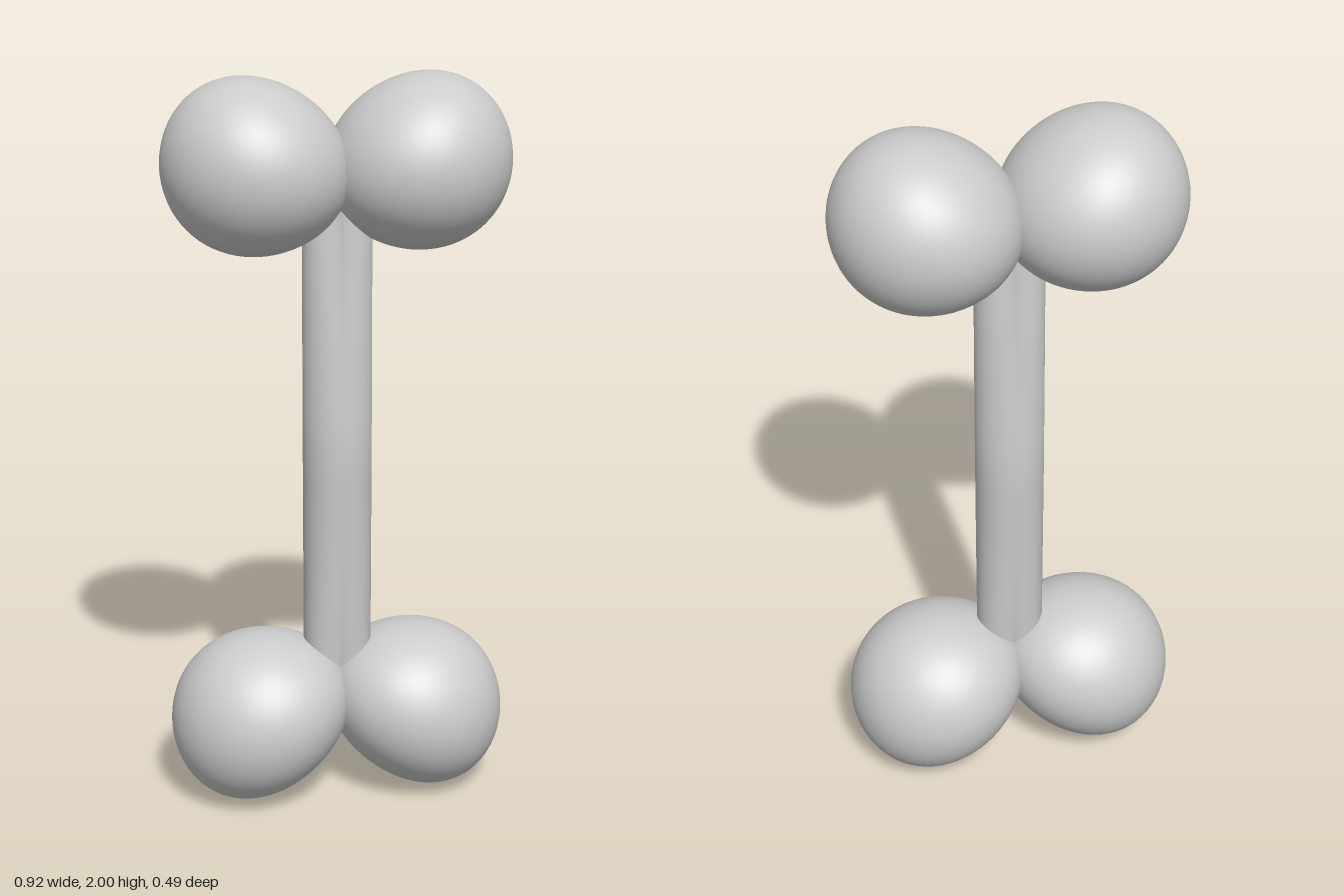
import * as THREE from 'three';

const HALF_WIDTH = 0.093;

// Rod leaning so its outer side stays straight while the radius narrows to the ends
function rodGeometry() {
  const profile = [];
  const rows = 16;
  for (let i = 0; i <= rows; i++) {
    const y = 0.29 + (1.72 - 0.29) * i / rows;
    profile.push(new THREE.Vector2(HALF_WIDTH - 0.054 * Math.abs(y - 1), y));
  }
  const geo = new THREE.LatheGeometry(profile, 48);
  const pos = geo.attributes.position;
  for (let i = 0; i < pos.count; i++) {
    pos.setX(i, pos.getX(i) + 0.054 * Math.abs(pos.getY(i) - 1));
  }
  return geo;
}

// Egg-like knob: height grows outward by swell, centre line bends by slope and bend
function knobGeometry(y, height, swell, slope, bend) {
  const radius = 0.247;
  const geo = new THREE.SphereGeometry(radius, 64, 48);
  const pos = geo.attributes.position;
  for (let i = 0; i < pos.count; i++) {
    const u = pos.getX(i);
    const h = pos.getY(i) / radius * height * (1 + swell * u);
    pos.setXYZ(i, u + 0.215, y + h + slope * u + bend * u * u, pos.getZ(i));
  }
  geo.computeVertexNormals();
  // Keep the sphere's seam smooth
  const n = geo.attributes.normal;
  for (let row = 0; row <= 48; row++) {
    const a = row * 65, b = a + 64;
    const v = new THREE.Vector3().fromBufferAttribute(n, a)
      .add(new THREE.Vector3().fromBufferAttribute(n, b)).normalize();
    n.setXYZ(a, v.x, v.y, v.z);
    n.setXYZ(b, v.x, v.y, v.z);
  }
  return geo;
}

export function createModel() {
  const model = new THREE.Group();
  model.name = 'bone';
  const material = new THREE.MeshStandardMaterial({ color: 0xcccccc });
  const parts = {
    shaft: rodGeometry(),
    upperKnob: knobGeometry(1.768, 0.231, 0.32, 0.055, -0.09),
    lowerKnob: knobGeometry(0.24, 0.231, 0.45, -0.123, 0.25),
  };

  // Each half is the same, turned about the upright axis
  for (const side of ['left', 'right']) {
    const half = new THREE.Group();
    half.name = side + 'Half';
    for (const [name, geo] of Object.entries(parts)) {
      const mesh = new THREE.Mesh(geo, material);
      mesh.name = name;
      half.add(mesh);
    }
    if (side === 'right') half.rotation.y = Math.PI;
    model.add(half);
  }
  return model;
}
